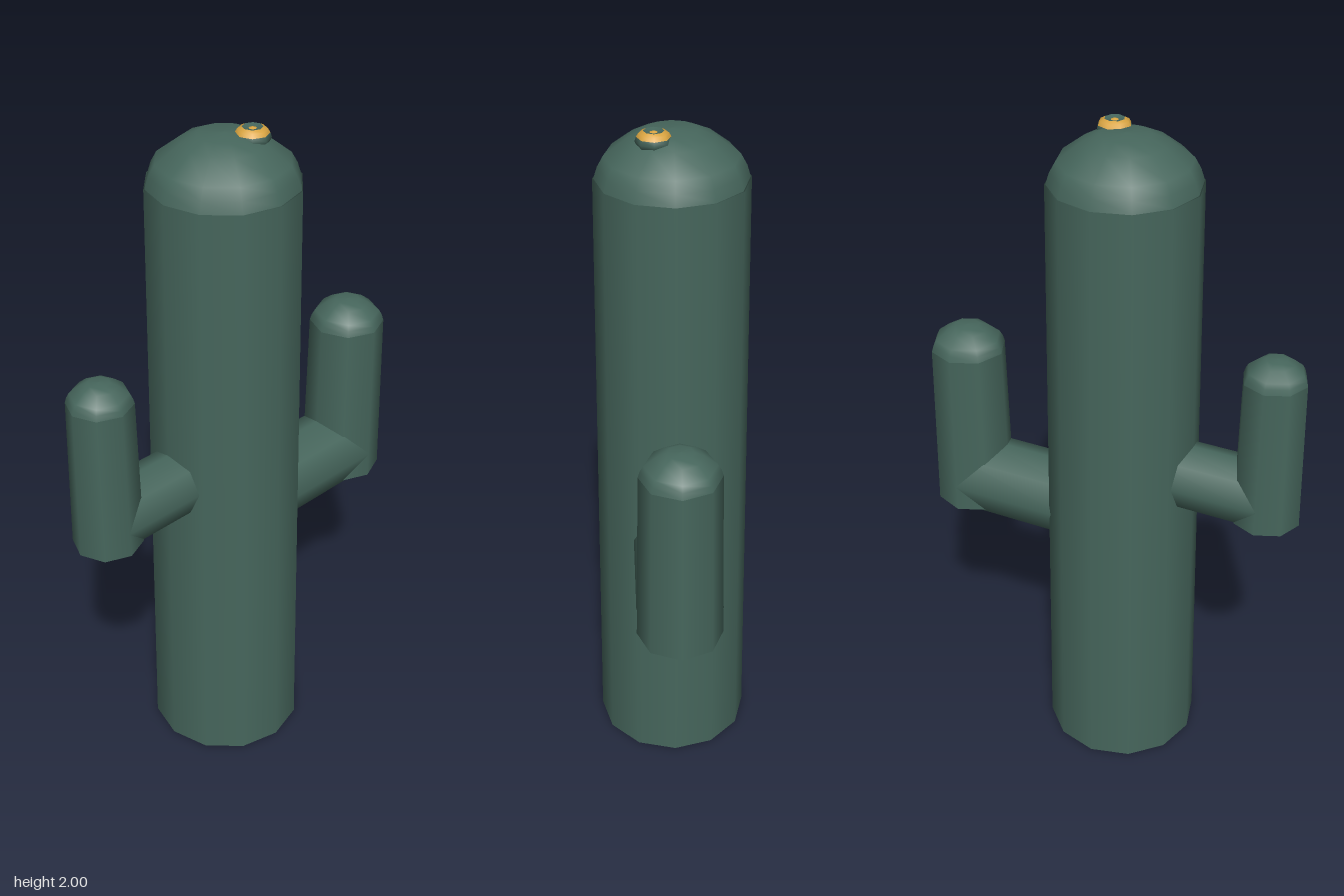
import * as THREE from 'three';

const cactusGreen = new THREE.MeshStandardMaterial({ color: 0x46665c, side: THREE.DoubleSide });
cactusGreen.name = 'cactusGreen';
const flowerGold = new THREE.MeshStandardMaterial({ color: 0xd9a441, side: THREE.DoubleSide });
flowerGold.name = 'flowerGold';

function part(name, geometry, material, x = 0, y = 0, z = 0) {
  const mesh = new THREE.Mesh(geometry, material);
  mesh.name = name;
  mesh.position.set(x, y, z);
  return mesh;
}

// Surface of revolution from [radius, height] pairs, bottom to top
function lathe(points, sides) {
  return new THREE.LatheGeometry(points.map(([r, y]) => new THREE.Vector2(r, y)), sides);
}

// Tapered column, open underneath
function column(rTop, rBottom, height, sides) {
  return new THREE.CylinderGeometry(rTop, rBottom, height, sides, 1, true).translate(0, height / 2, 0);
}

// Rounded cap, as fractions of its radius and height
function dome(radius, height, sides) {
  const profile = [[1, 0], [0.95, 0.24], [0.87, 0.46], [0.56, 0.82], [0.33, 0.97], [0, 1]];
  return lathe(profile.map(([r, y]) => [r * radius, y * height]), sides);
}

// Elbowed arm: a level branch from the trunk and an upright with a rounded tip
function arm(name, { x, r, rTop, branchY, bottom, shoulder, tip, inner }) {
  const group = new THREE.Group();
  group.name = name;
  const length = Math.abs(x - inner);
  const branch = part('branch', new THREE.CylinderGeometry(r, r, length, 8), cactusGreen, (x + inner) / 2, branchY, 0);
  branch.rotation.z = Math.PI / 2;
  group.add(
    branch,
    part('upright', column(rTop, r, shoulder - bottom, 8), cactusGreen, x, bottom, 0),
    part('armTip', dome(rTop, tip - shoulder, 8), cactusGreen, x, shoulder, 0),
  );
  return group;
}

export function createModel() {
  const model = new THREE.Group();
  model.name = 'cactus';
  const trunkX = -0.045;

  // Trunk and its rounded top
  model.add(
    part('trunk', column(0.213, 0.232, 1.85, 12), cactusGreen, trunkX, 0, 0),
    part('trunkTop', dome(0.21, 0.137, 12), cactusGreen, trunkX, 1.85, 0),
  );

  // Arms
  model.add(
    arm('leftArm', { x: 0.468, r: 0.121, rTop: 0.112, branchY: 0.795, bottom: 0.715, shoulder: 1.235, tip: 1.31, inner: 0.06 }),
    arm('rightArm', { x: -0.495, r: 0.1, rTop: 0.092, branchY: 0.985, bottom: 0.91, shoulder: 1.365, tip: 1.43, inner: -0.14 }),
  );

  // Flower bud: green cup, gold rim, green hollow, gold centre
  const flower = new THREE.Group();
  flower.name = 'flower';
  flower.position.set(0.01, 1.95, 0.05);
  flower.add(
    part('flowerCup', lathe([[0.025, 0], [0.043, 0.008], [0.05, 0.022], [0.046, 0.034]], 8), cactusGreen),
    part('flowerRim', lathe([[0.046, 0.034], [0.04, 0.044], [0.028, 0.05]], 8), flowerGold),
    part('flowerHollow', lathe([[0.028, 0.05], [0.011, 0.046]], 8), cactusGreen),
    part('flowerCentre', lathe([[0.011, 0.046], [0, 0.05]], 8), flowerGold),
  );
  model.add(flower);

  return model;
}
